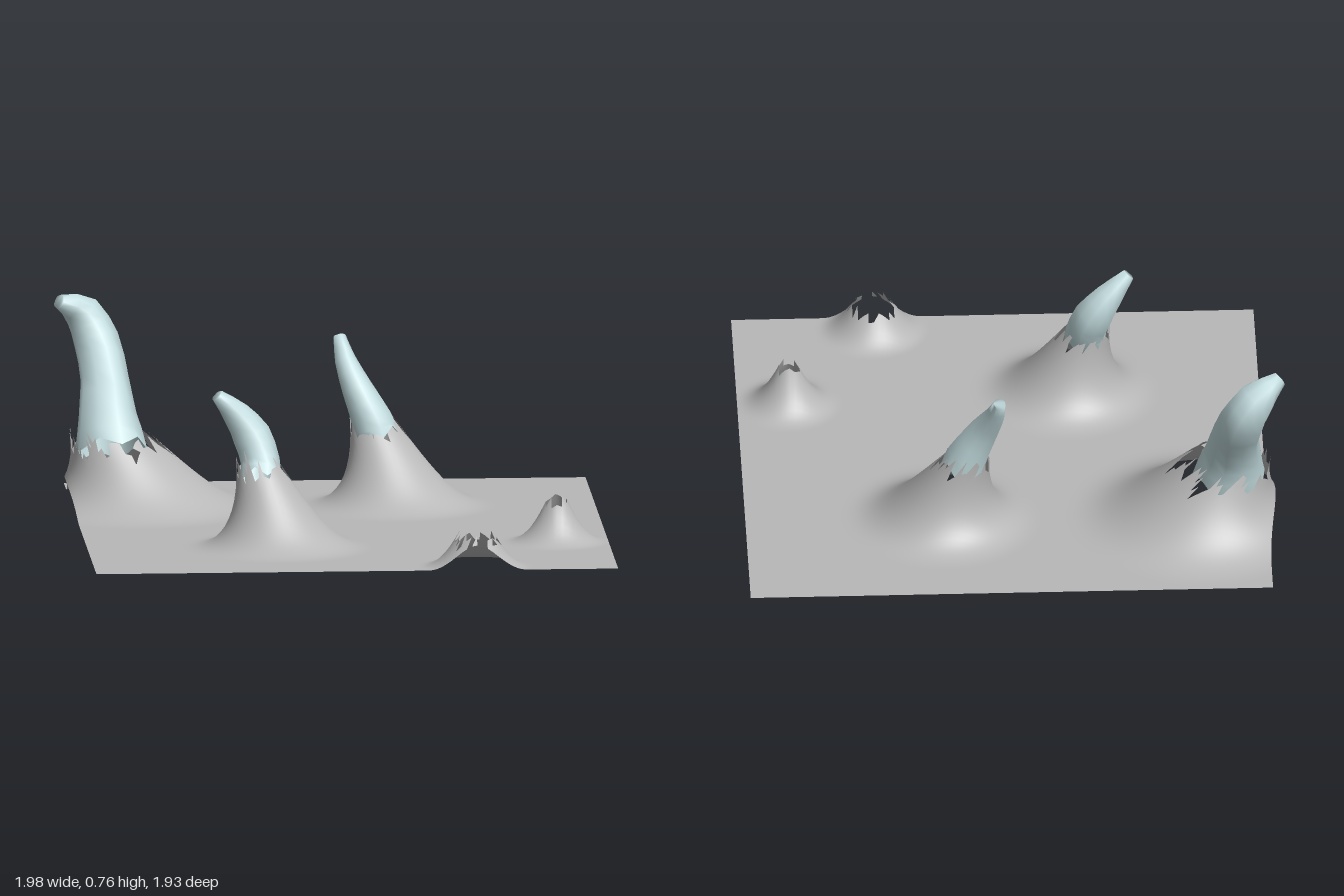
import * as THREE from 'three';

const rock = new THREE.MeshStandardMaterial({ color: 0xb8b8b8, side: THREE.DoubleSide });
rock.name = 'grey ground';
const horn = new THREE.MeshStandardMaterial({ color: 0xc3dcdf, side: THREE.DoubleSide });
horn.name = 'pale blue horn';

// Mounds: foot centre and radius, hole radius, rim height, lean of the rim, steepness
const MOUNDS = [
  { x: -0.68, z: -0.46, foot: 0.5, hole: 0.165, h: 0.235, dx: -0.09, dz: -0.02, p: 2.6 },
  { x: -0.22, z: 0.43, foot: 0.36, hole: 0.085, h: 0.29, dx: -0.07, dz: -0.05, p: 2.8 },
  { x: 0.27, z: -0.43, foot: 0.38, hole: 0.09, h: 0.29, dx: -0.08, dz: -0.07, p: 2.8 },
  { x: 0.81, z: 0.38, foot: 0.2, hole: 0.042, h: 0.15, dx: 0, dz: 0, p: 2.4 },
  { x: 0.48, z: 0.88, foot: 0.2, hole: 0.08, h: 0.1, dx: 0, dz: 0, p: 2 },
];

// Horns: centre line points with a radius each
const HORNS = [
  ['largeHorn', [[-0.79, 0.21, -0.49, 0.135], [-0.8, 0.33, -0.54, 0.108], [-0.805, 0.45, -0.62, 0.09],
    [-0.83, 0.58, -0.71, 0.085], [-0.88, 0.68, -0.73, 0.07], [-0.965, 0.732, -0.68, 0.028]]],
  ['frontHorn', [[-0.29, 0.25, 0.395, 0.078], [-0.29, 0.31, 0.36, 0.073], [-0.32, 0.4, 0.325, 0.072],
    [-0.375, 0.48, 0.325, 0.052], [-0.445, 0.555, 0.345, 0.024]]],
  ['backHorn', [[0.195, 0.25, -0.47, 0.083], [0.175, 0.31, -0.48, 0.076], [0.125, 0.42, -0.51, 0.058],
    [0.085, 0.52, -0.565, 0.04], [0.067, 0.602, -0.615, 0.023]]],
  ['hornStub', [[0.81, 0.08, 0.38, 0.05], [0.81, 0.1, 0.38, 0.045], [0.81, 0.12, 0.38, 0.035]]],
];

function makeGeometry(positions, index) {
  const g = new THREE.BufferGeometry();
  g.setAttribute('position', new THREE.Float32BufferAttribute(positions, 3));
  g.setIndex(index);
  g.computeVertexNormals();
  return g;
}

// Flat grid pulled up into leaning mounds, with torn holes at their tops
function groundGeometry() {
  const n = 100, x0 = -0.93, x1 = 1, z0 = -0.965, z1 = 0.965;
  const gridX = (i) => x0 + ((x1 - x0) * i) / n;
  const gridZ = (j) => z0 + ((z1 - z0) * j) / n;
  const positions = [], index = [];
  for (let j = 0; j <= n; j++) {
    for (let i = 0; i <= n; i++) {
      const x = gridX(i), z = gridZ(j);
      let px = x, py = 0, pz = z;
      for (const m of MOUNDS) {
        const r = Math.hypot(x - m.x, z - m.z);
        const t = THREE.MathUtils.clamp((m.foot - r) / (m.foot - m.hole), 0, 1.15);
        py += m.h * t ** m.p;
        px += m.dx * t ** 4;
        pz += m.dz * t ** 4;
      }
      positions.push(px, py, pz);
    }
  }
  const torn = (x, z) => MOUNDS.some((m) => {
    const a = Math.atan2(z - m.z, x - m.x);
    const edge = m.hole * (1 + 0.1 * Math.sin(11 * a) + 0.05 * Math.sin(5 * a + 1));
    return Math.hypot(x - m.x, z - m.z) < edge;
  });
  for (let j = 0; j < n; j++) {
    for (let i = 0; i < n; i++) {
      const a = j * (n + 1) + i, b = a + n + 1;
      if (!torn(gridX(i + 0.33), gridZ(j + 0.33))) index.push(a, b, a + 1);
      if (!torn(gridX(i + 0.67), gridZ(j + 0.67))) index.push(a + 1, b, b + 1);
    }
  }
  return makeGeometry(positions, index);
}

// Tapered loft along a curve, with a ragged open base and a blunt tip
function hornGeometry(points, closed) {
  const sides = 10, rows = (points.length - 1) * 2;
  const curve = new THREE.CatmullRomCurve3(points.map((p) => new THREE.Vector3(p[0], p[1], p[2])));
  const positions = [], index = [];
  for (let i = 0; i <= rows; i++) {
    const f = i / 2, k = Math.min(Math.floor(f), points.length - 2);
    const radius = THREE.MathUtils.lerp(points[k][3], points[k + 1][3], f - k);
    const c = curve.getPoint(i / rows), t = curve.getTangent(i / rows);
    const u = new THREE.Vector3().crossVectors(t, new THREE.Vector3(0, 0, 1)).normalize();
    const v = new THREE.Vector3().crossVectors(t, u);
    for (let j = 0; j < sides; j++) {
      const a = (j / sides) * Math.PI * 2;
      const r = radius * (j % 2 ? 0.94 : 1.04);
      const p = c.clone().addScaledVector(u, Math.cos(a) * r).addScaledVector(v, Math.sin(a) * r);
      if (i === 0) p.y += j % 2 ? 0.02 : -0.015;
      positions.push(p.x, p.y, p.z);
      if (i < rows) {
        const q = i * sides + j, s = i * sides + ((j + 1) % sides);
        index.push(q, s, q + sides, s, s + sides, q + sides);
      }
    }
  }
  if (closed) {
    const base = rows * sides;
    for (let j = 1; j < sides - 1; j++) index.push(base, base + j, base + j + 1);
  }
  return makeGeometry(positions, index);
}

export function createModel() {
  const model = new THREE.Group();
  model.name = 'hornedGround';
  const add = (name, geometry, material) => {
    const mesh = new THREE.Mesh(geometry, material);
    mesh.name = name;
    model.add(mesh);
  };
  add('ground', groundGeometry(), rock);
  for (const [name, points] of HORNS) add(name, hornGeometry(points, name !== 'hornStub'), horn);
  return model;
}
